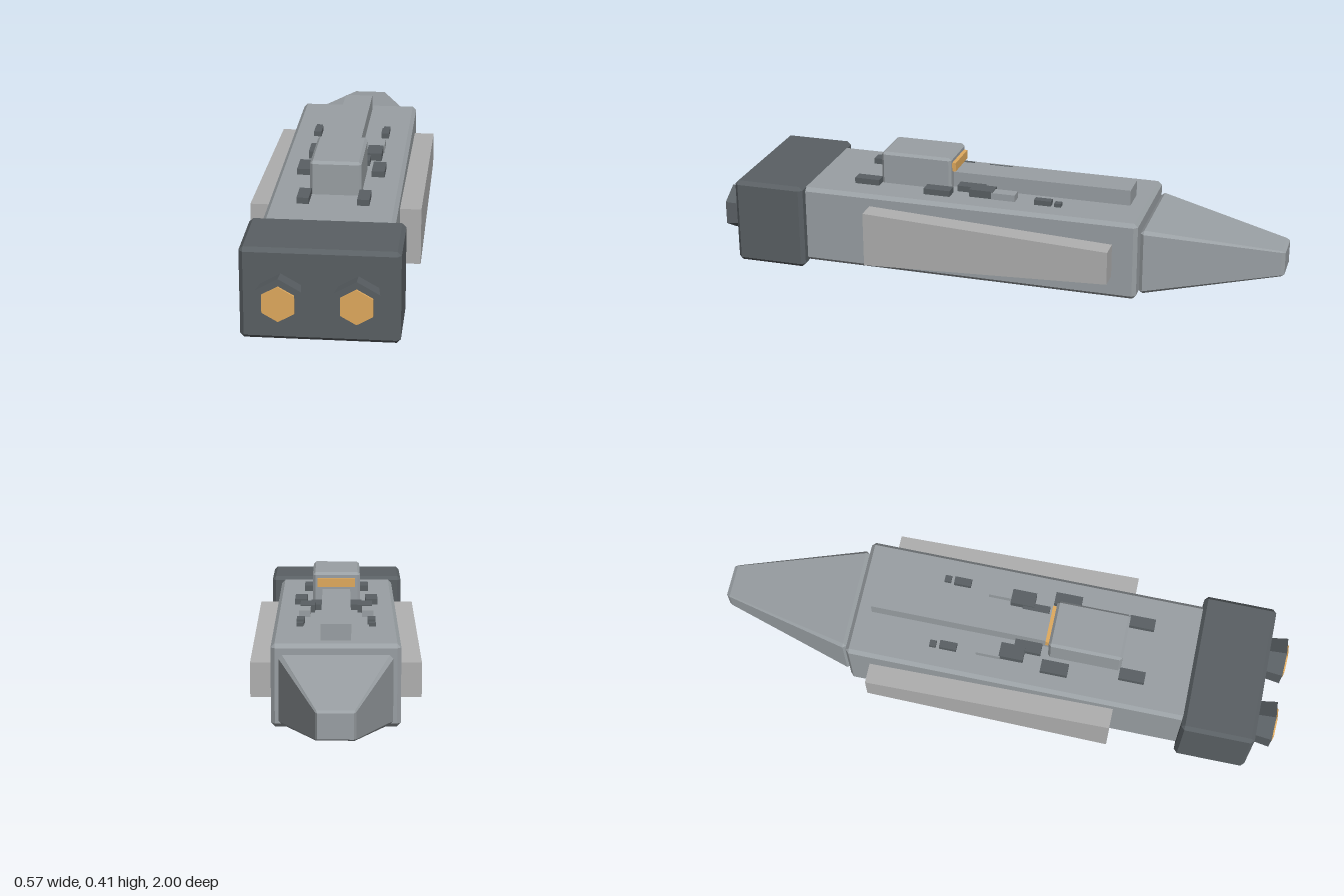
import * as THREE from 'three';
import { ConvexGeometry } from 'three/addons/geometries/ConvexGeometry.js';

const material = (color) => new THREE.MeshStandardMaterial({ color, flatShading: true });

// Box with flat chamfers on every edge, given by its min and max corners.
function chamferBox([x0, y0, z0], [x1, y1, z1], c) {
  const half = [(x1 - x0) / 2, (y1 - y0) / 2, (z1 - z0) / 2];
  const centre = new THREE.Vector3((x0 + x1) / 2, (y0 + y1) / 2, (z0 + z1) / 2);
  const points = [];
  for (const sx of [-1, 1]) for (const sy of [-1, 1]) for (const sz of [-1, 1]) {
    for (let axis = 0; axis < 3; axis++) {
      const h = half.map((v, i) => (i === axis ? v : v - c));
      points.push(new THREE.Vector3(sx * h[0], sy * h[1], sz * h[2]).add(centre));
    }
  }
  return new ConvexGeometry(points);
}

function box([x0, y0, z0], [x1, y1, z1]) {
  return new THREE.BoxGeometry(x1 - x0, y1 - y0, z1 - z0)
    .translate((x0 + x1) / 2, (y0 + y1) / 2, (z0 + z1) / 2);
}

// Scales the section in x and y along z: full at zBack, (sx, sy) at zTip, about height yc.
function taper(geometry, zBack, zTip, sx, sy, yc) {
  const p = geometry.attributes.position;
  for (let i = 0; i < p.count; i++) {
    const t = (p.getZ(i) - zBack) / (zTip - zBack);
    p.setX(i, p.getX(i) * (1 + (sx - 1) * t));
    p.setY(i, yc + (p.getY(i) - yc) * (1 + (sy - 1) * t));
  }
  geometry.computeVertexNormals();
  return geometry;
}

export function createModel() {
  const model = new THREE.Group();
  model.name = 'spaceship';
  const hullGrey = material(0x9aa0a4);
  const darkGrey = material(0x5a6064);
  const panelGrey = material(0xb0b0b0);
  const glow = material(0xe0aa5e);

  const add = (name, geometry, mat) => {
    const mesh = new THREE.Mesh(geometry, mat);
    mesh.name = name;
    model.add(mesh);
    return mesh;
  };

  // Main body
  add('hull', chamferBox([-0.213, 0.015, -0.52], [0.213, 0.293, 0.69], 0.013), hullGrey);
  add('engineBlock', chamferBox([-0.25, 0, 0.673], [0.25, 0.305, 0.928], 0.013), darkGrey);
  add('nose', taper(chamferBox([-0.19, 0.027, -1], [0.19, 0.263, -0.525], 0.012),
    -0.525, -1, 0.31, 0.38, 0.145), hullGrey);

  // Dorsal spine and cabin
  add('spine', box([-0.05, 0.28, -0.46], [0.05, 0.348, 0.18]), hullGrey);
  add('cabin', chamferBox([-0.085, 0.28, 0.175], [0.085, 0.408, 0.432], 0.009), hullGrey);
  add('cabinWindow', box([-0.068, 0.357, 0.162], [0.068, 0.388, 0.18]), glow);

  // Deck details: x range, z range, top height, material
  const details = [
    [0.079, 0.119, 0.43, 0.52, 0.314, darkGrey],
    [0.105, 0.149, 0.16, 0.255, 0.314, darkGrey],
    [0.075, 0.127, 0.01, 0.095, 0.32, darkGrey],
    [0.05, 0.09, 0.055, 0.15, 0.314, darkGrey],
    [0.09, 0.13, -0.07, 0.015, 0.317, hullGrey],
    [0.108, 0.135, -0.2, -0.14, 0.311, darkGrey],
    [0.112, 0.135, -0.235, -0.212, 0.306, darkGrey],
  ];

  for (const side of [-1, 1]) {
    const label = side > 0 ? 'left' : 'right';

    // Tapered side armour
    const panel = taper(box([-0.036, 0.057, -0.435], [0.036, 0.252, 0.433]),
      0.433, -0.435, 1, 0.6, 0.1545);
    add(label + 'SidePanel', panel.translate(side * 0.248, 0, 0), panelGrey);

    // Hexagonal thruster with glowing outlet
    add(label + 'Nozzle', new THREE.CylinderGeometry(0.082, 0.07, 0.08, 6)
      .rotateX(Math.PI / 2).translate(side * 0.12, 0.153, 0.953), darkGrey);
    add(label + 'NozzleGlow', new THREE.CylinderGeometry(0.058, 0.058, 0.02, 6)
      .rotateX(Math.PI / 2).translate(side * 0.12, 0.153, 0.99), glow);

    for (const [x0, x1, z0, z1, top, mat] of details) {
      const geometry = box([-(x1 - x0) / 2, 0.285, z0], [(x1 - x0) / 2, top, z1]);
      add(label + 'DeckDetail', geometry.translate(side * (x0 + x1) / 2, 0, 0), mat);
    }
  }
  return model;
}
